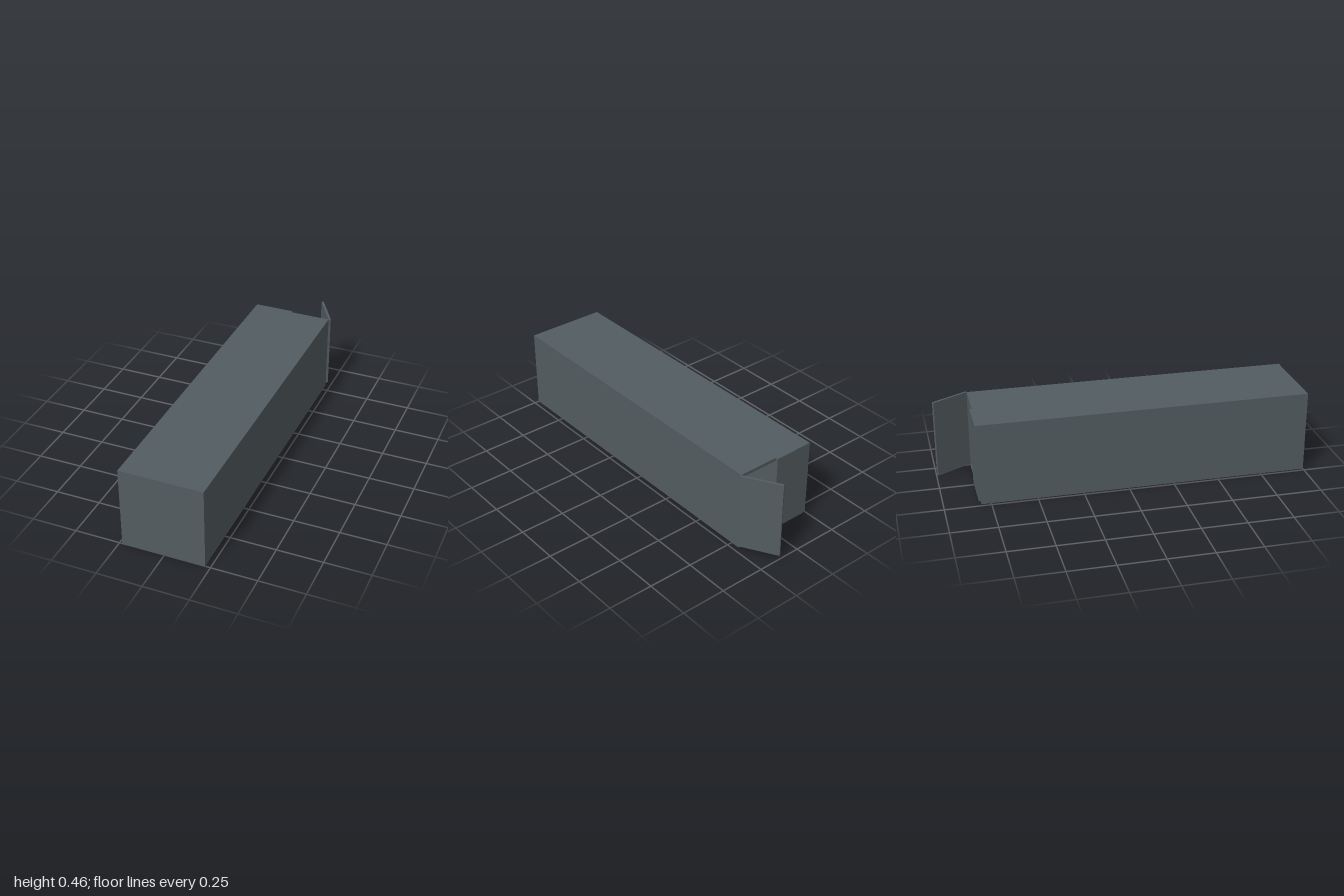
import * as THREE from 'three';

const LEFT = 0.222, RIGHT = -0.234, HEIGHT = 0.455;
const FRONT = 1, BACK = -0.803, WALL = 0.018;
const DOOR_T = 0.0135, DOOR_BOTTOM = 0.02;

// Closed rectangular outline usable as a shape or a hole
function rect(path, x0, y0, x1, y1) {
  path.moveTo(x0, y0);
  path.lineTo(x1, y0);
  path.lineTo(x1, y1);
  path.lineTo(x0, y1);
  path.closePath();
  return path;
}

export function createModel() {
  const group = new THREE.Group();
  const paint = new THREE.MeshStandardMaterial({ color: 0x535c60 });
  paint.name = 'slateGreyMetal';

  const add = (name, geometry, parent = group) => {
    const mesh = new THREE.Mesh(geometry, paint);
    mesh.name = name;
    parent.add(mesh);
    return mesh;
  };

  // Hollow shell: floor, roof and both side walls, open at the back
  const section = rect(new THREE.Shape(), RIGHT, 0, LEFT, HEIGHT);
  section.holes.push(rect(new THREE.Path(), RIGHT + WALL, WALL, LEFT - WALL, HEIGHT - WALL));
  const shell = new THREE.ExtrudeGeometry(section, { depth: FRONT - BACK, bevelEnabled: false });
  add('containerShell', shell.translate(0, 0, BACK));

  // End wall closing the front, set flush inside the shell
  const endWall = new THREE.BoxGeometry(LEFT - RIGHT - 2 * WALL, HEIGHT - 2 * WALL, WALL);
  add('frontWall', endWall).position.set((LEFT + RIGHT) / 2, HEIGHT / 2, FRONT - WALL / 2);

  // Two back doors, each hung on a hinge at its outer edge
  const doors = [
    { name: 'closedDoor', hinge: RIGHT, side: 1, width: 0.225, angle: 0 },
    { name: 'openDoor', hinge: LEFT, side: -1, width: 0.2195, angle: -Math.PI / 3 },
  ];
  for (const { name, hinge, side, width, angle } of doors) {
    const pivot = new THREE.Group();
    pivot.name = name + 'Hinge';
    pivot.position.set(hinge, 0, BACK);
    pivot.rotation.y = angle;
    group.add(pivot);
    const panel = new THREE.BoxGeometry(width, HEIGHT - DOOR_BOTTOM, DOOR_T);
    add(name, panel, pivot).position.set(side * width / 2, (HEIGHT + DOOR_BOTTOM) / 2, -DOOR_T / 2);
  }
  return group;
}
